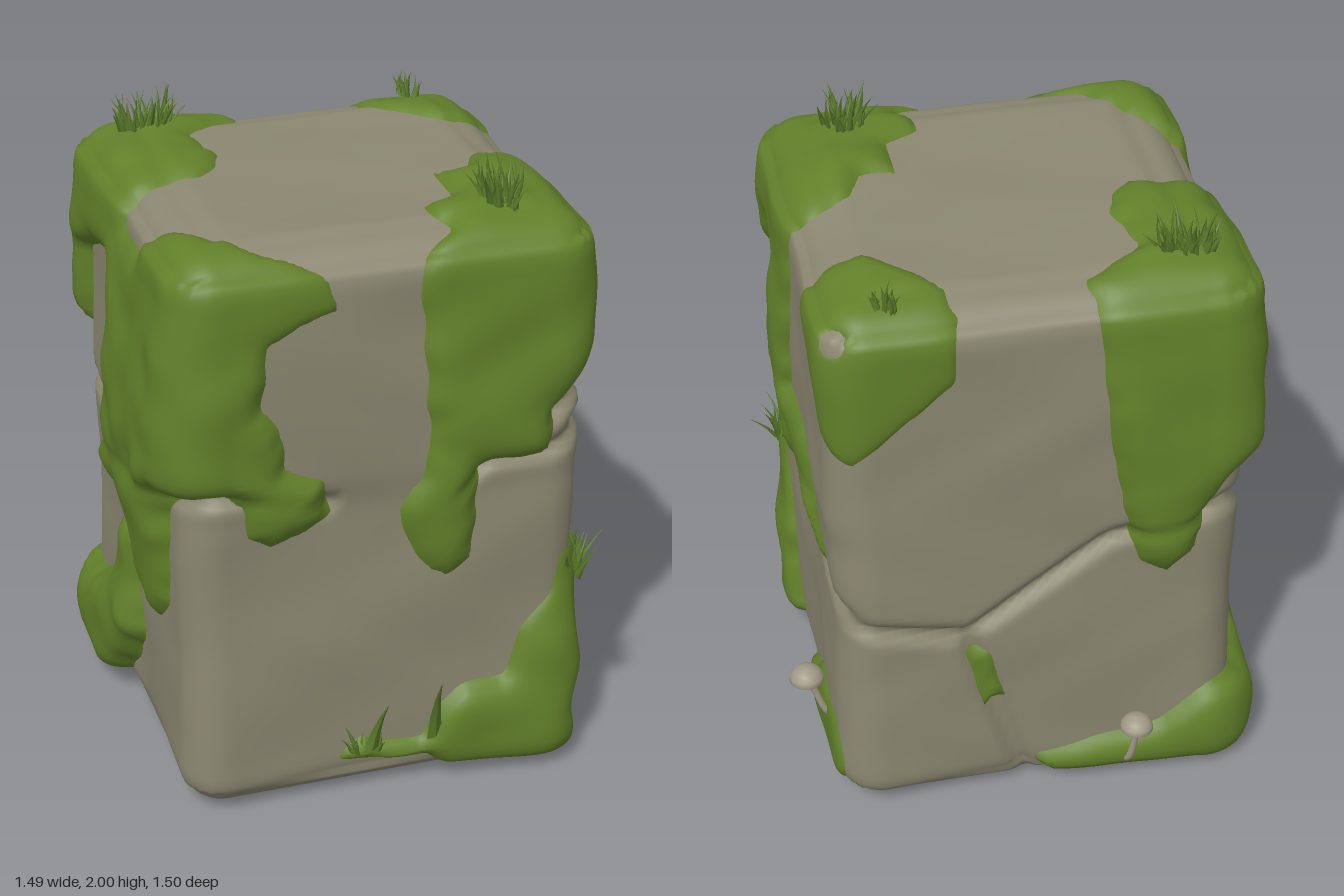
import * as THREE from 'three';
import { mergeVertices, mergeGeometries } from 'three/addons/utils/BufferGeometryUtils.js';

const HALF = new THREE.Vector3(0.632, 0.922, 0.628), CENTRE = new THREE.Vector3(-0.008, 0.933, 0.001), RADIUS = 0.13;
const { clamp, lerp, smoothstep } = THREE.MathUtils;

// Outlines of moss on each side: front/back use (x, y), sides (z, y), top/bottom (x, z)
const MOSS = {
  front: [
    [[-.8, 2], [-.2, 2], [-.18, 1.68], [-.3, 1.65], [-.39, 1.6], [-.41, 1.4], [-.35, 1.33], [-.34, 1.2], [-.22, 1.14], [-.2, 1.02], [-.28, .96], [-.38, .93], [-.44, .98], [-.46, 1.08], [-.52, 1.12], [-.8, 1.12]],
    [[.06, 2], [.06, 1.82], [.08, 1.6], [.11, 1.2], [.1, 1.12], [.02, 1], [.04, .9], [.12, .78], [.17, .75], [.25, .8], [.27, 1.1], [.5, 1.12], [.5, 1.27], [.62, 1.34], [.8, 1.35], [.8, 2]],
    [[-.17, .13], [-.15, .17], [-.1, .21], [-.05, .18], [.1, .17], [.13, .25], [.22, .34], [.36, .35], [.42, .5], [.53, .62], [.55, .78], [.8, .8], [.8, -.1], [.12, .01], [.1, .1]],
  ],
  right: [
    [[.8, 2], [.02, 2], [.02, 1.6], [.06, 1.2], [0, 1.2], [-.15, 1.15], [-.22, 1], [-.4, .84], [-.38, .8], [-.1, .84], [0, .95], [.1, .87], [.23, .93], [.2, 1.05], [.33, 1.15], [.35, 1.3], [.33, 1.45], [.28, 1.55], [.35, 1.6], [.45, 1.58], [.5, 1.5], [.6, 1.38], [.8, 1.35]],
    [[-.32, 2], [-.3, 1.8], [-.24, 1.7], [-.35, 1.62], [-.45, 1.5], [-.52, 1.42], [-.8, 1.36], [-.8, 2]],
    [[.8, .68], [.6, .68], [.55, .76], [.46, .7], [.44, .62], [.35, .5], [.3, .42], [.28, .3], [.22, .14], [.27, .06], [.5, 0], [.8, -.1]],
    [[0, -.02], [0, .15], [-.15, .22], [-.28, .35], [-.4, .29], [-.5, .31], [-.57, .22], [-.6, .04], [-.45, -.02]],
  ],
  back: [
    [[.8, 1.34], [.55, 1.36], [.4, 1.5], [.25, 1.62], [.22, 2], [.8, 2]],
    [[-.15, 2], [-.17, 1.75], [-.22, 1.3], [-.28, 1], [-.31, .88], [-.4, .82], [-.48, .9], [-.52, 1.08], [-.58, 1.16], [-.8, 1.18], [-.8, 2]],
    [[.05, -.1], [0, .14], [-.2, .17], [-.4, .21], [-.52, .32], [-.63, .4], [-.8, .42], [-.8, -.1]],
    [[.23, .62], [.15, .6], [.1, .4], [.17, .38]],
  ],
  left: [
    [[-.8, 2], [-.8, 1.2], [-.53, 1.2], [-.48, 1.48], [-.35, 1.55], [-.15, 1.58], [-.08, 1.4], [-.1, 1.1], [-.25, .95], [-.28, .84], [-.1, .8], [0, .82], [.1, .64], [.3, .56], [.42, .68], [.44, 1], [.5, 1.1], [.8, 1.1], [.8, 2], [.26, 2], [.22, 1.74], [0, 1.74], [-.04, 2]],
    [[-.8, -.1], [-.8, .25], [-.4, .35], [-.22, .48], [-.14, .7], [.04, .72], [.08, .38], [-.05, .2], [-.2, .05], [-.3, -.05]],
  ],
  top: [
    [[-.8, -.8], [-.15, -.8], [-.15, -.5], [-.3, -.42], [-.35, -.38], [-.3, -.2], [-.33, -.12], [-.4, -.04], [-.8, -.03]],
    [[.25, -.8], [.25, -.48], [.35, -.35], [.45, -.27], [.8, -.27], [.8, -.8]],
    [[.8, .02], [.58, -.02], [.43, .05], [.38, .15], [.27, .15], [.27, .33], [.16, .38], [.17, .47], [.2, .55], [.08, .8], [.8, .8]],
    [[-.8, .26], [-.63, .27], [-.5, .38], [-.43, .47], [-.36, .58], [-.28, .8], [-.8, .8]],
  ],
  bottom: [[[.38, -.42], [.46, -.12], [.36, .24], [.05, .38], [-.25, .25], [-.38, -.1], [-.1, -.42]], [[.55, .3], [.5, .55], [.28, .5], [.34, .3]]],
};
// Cracks between the stones, in the same coordinates
const CRACKS = {
  front: [[[-.7, 1.12], [-.45, 1.12], [-.2, 1.05]], [[.2, 1.05], [.3, 1.12], [.5, 1.13], [.7, 1.19]], [[.5, 1.25], [.7, 1.31]]],
  right: [[[.7, 1.19], [.35, 1.2], [.1, 1.1], [-.2, .95], [-.4, .82], [-.7, .77]], [[.7, 1.31], [.36, 1.29]]],
  back: [[[.7, .77], [.22, .68], [-.22, .98], [-.7, 1.07]], [[.22, .68], [.12, .35], [0, -.05]]],
  left: [[[-.7, 1.07], [-.2, .95], [.2, 1.05], [.7, 1.12]]],
  top: [], bottom: [],
};
const BARE = [[.68, .19, .54, .08], [.6, 1.78, -.58, .045]]; // stone showing through: x, y, z, radius

const FACES = {
  front: (p, n) => [n.z, p.x, p.y], back: (p, n) => [-n.z, p.x, p.y],
  right: (p, n) => [n.x, p.z, p.y], left: (p, n) => [-n.x, p.z, p.y],
  top: (p, n) => [n.y, p.x, p.z], bottom: (p, n) => [-n.y, p.x, p.z],
};

function segmentDistance(x, y, a, b) {
  const dx = b[0] - a[0], dy = b[1] - a[1];
  const t = clamp(((x - a[0]) * dx + (y - a[1]) * dy) / (dx * dx + dy * dy), 0, 1);
  return Math.hypot(x - a[0] - t * dx, y - a[1] - t * dy);
}

// Positive inside the outline, negative outside
function outlineDepth(x, y, poly) {
  let d = 1, inside = false;
  poly.forEach((a, i) => {
    const b = poly[(i + 1) % poly.length];
    d = Math.min(d, segmentDistance(x, y, a, b));
    if ((a[1] > y) !== (b[1] > y) && x < a[0] + (y - a[1]) / (b[1] - a[1]) * (b[0] - a[0])) inside = !inside;
  });
  return inside ? d : -d;
}

// Blend a per-side value around the rounded edges
function blendFaces(p, n, valueAt) {
  let sum = 0;
  for (const name in FACES) {
    const [w, u, v] = FACES[name](p, n);
    if (w > 0.01) sum += w * w * valueAt(name, u, v);
  }
  return sum;
}

const wave = (p, f, s) => Math.sin(p.x * f + s + 1.7 * Math.sin(p.y * f * 0.7 + s)) * Math.sin(p.y * f * 0.9 + 2 * s + Math.sin(p.z * f)) * Math.cos(p.z * f * 1.1 - s);

const crackDepth = (p, n) => blendFaces(p, n, (name, u, v) => {
  let d = 1;
  for (const line of CRACKS[name]) for (let i = 1; i < line.length; i++) d = Math.min(d, segmentDistance(u, v, line[i - 1], line[i]));
  return 0.038 * Math.exp(-((d / 0.025) ** 2));
});

function stoneRelief(p, n) {
  const m = Math.max(Math.abs(p.x), Math.abs(p.z));
  const rim = n.y > 0.5 ? -0.015 * smoothstep(m, 0.45, 0.5) : 0; // raised middle of the top
  const lower = -0.014 * Math.max(0, n.z, n.x) * (1 - smoothstep(p.y, 1, 1.15)); // lower stones set back
  const flat = n.y < -0.5 ? 0 : 1;
  return rim + lower - crackDepth(p, n) + flat * (0.011 * wave(p, 5, 0.6) + 0.003 * wave(p, 11, 2));
}

function mossHeight(p, n) {
  let d = blendFaces(p, n, (name, u, v) => clamp(
    Math.max(...MOSS[name].map(poly => outlineDepth(u, v, poly))), -0.1, 0.12));
  for (const [x, y, z, r] of BARE) d = Math.min(d, Math.hypot(p.x - x, p.y - y, p.z - z) - r);
  d += 0.012 * wave(p, 23, 1);
  if (d < 0) return Math.max(d, -0.04);
  const thin = 1 - 0.65 * smoothstep(p.x - p.z, 0.5, 1.1); // sparse at the back right
  // Patches hang heavier towards their lower edge
  const sag = 1.25 - 0.85 * smoothstep(p.y, 1.25, 1.85) - 0.6 * smoothstep(p.y, 0.3, 0.6) * (1 - smoothstep(p.y, 0.7, 1));
  const thick = n.y < -0.5 ? 0.008
    : thin * lerp(sag, 0.75, Math.max(0, n.y)) * (0.045 + 0.016 * wave(p, 12, 3) + 0.03 * Math.max(0, -n.x));
  return (thick + 0.8 * crackDepth(p, n)) * (1 - Math.exp(-d / 0.035));
}

// Rounded block whose skin is moved along its normal; heightAt adds a layer, dropped where it is buried
function blockShell(heightAt) {
  let geo = new THREE.BoxGeometry(HALF.x * 2, HALF.y * 2, HALF.z * 2, 58, 84, 58);
  geo.deleteAttribute('normal');
  geo.deleteAttribute('uv');
  geo.clearGroups();
  geo = mergeVertices(geo, 1e-4);
  const pos = geo.attributes.position, p = new THREE.Vector3(), n = new THREE.Vector3(), layer = [];
  const limit = HALF.clone().subScalar(RADIUS);
  for (let i = 0; i < pos.count; i++) {
    p.fromBufferAttribute(pos, i);
    const inner = p.clone().clamp(limit.clone().negate(), limit);
    n.subVectors(p, inner).normalize();
    p.copy(inner).addScaledVector(n, RADIUS).add(CENTRE);
    layer[i] = heightAt ? heightAt(p, n) : 0;
    p.addScaledVector(n, stoneRelief(p, n) + layer[i]);
    pos.setXYZ(i, p.x, p.y, p.z);
  }
  geo.computeVertexNormals();
  if (heightAt) {
    const old = geo.index.array, keep = [];
    for (let i = 0; i < old.length; i += 3) {
      const tri = [old[i], old[i + 1], old[i + 2]];
      if (tri.some(v => layer[v] > 0)) keep.push(...tri);
    }
    geo.setIndex(keep);
  }
  return geo;
}

let seed = 7;
const rand = (a, b) => { seed = (seed * 16807) % 2147483647; return a + (b - a) * seed / 2147483647; };

// Curved, tapering blade from a root along a direction; spin turns its bend away from the front
function blade(root, dir, h, width, spin = 0) {
  const geo = new THREE.ConeGeometry(width, h, 4, 3).translate(0, h / 2, 0).scale(1, 1, 0.5);
  const pos = geo.attributes.position;
  for (let i = 0; i < pos.count; i++) pos.setZ(i, pos.getZ(i) + 0.25 * h * (pos.getY(i) / h) ** 2);
  geo.rotateY(spin);
  geo.applyQuaternion(new THREE.Quaternion().setFromUnitVectors(new THREE.Vector3(0, 1, 0), dir.normalize()));
  geo.computeVertexNormals();
  return geo.translate(...root);
}

function tuft(name, [x, y, z], [sx, sz], count, h, lean, mat) {
  const blades = [];
  for (let i = 0; i < count; i++) {
    const a = rand(0, 6.28), r = Math.sqrt(rand(0, 1)), dx = Math.cos(a) * r, dz = Math.sin(a) * r;
    const dir = new THREE.Vector3(lean[0] + dx * 0.5, 1, lean[1] + dz * 0.5);
    blades.push(blade([x + dx * sx, y, z + dz * sz], dir, h * rand(0.55, 1), 0.014, rand(0, 6.28)));
  }
  const mesh = new THREE.Mesh(mergeGeometries(blades), mat);
  mesh.name = name;
  return mesh;
}

function mushroom(name, path, capRadius, mat) {
  const g = new THREE.Group();
  g.name = name;
  const curve = new THREE.CatmullRomCurve3(path.map(q => new THREE.Vector3(...q)));
  const stem = new THREE.Mesh(new THREE.TubeGeometry(curve, 10, 0.011, 8), mat);
  stem.name = 'mushroomStem';
  const profile = [[0, 0.1], [0.85, -0.12], [1, 0], [0.94, 0.3], [0.7, 0.62], [0.35, 0.8], [0, 0.86]].map(q => new THREE.Vector2(q[0] * capRadius, q[1] * capRadius));
  const cap = new THREE.Mesh(new THREE.LatheGeometry(profile, 18), mat);
  cap.name = 'mushroomCap';
  cap.position.set(...path[path.length - 1]);
  g.add(stem, cap);
  return g;
}

export function createModel() {
  const material = (name, color) => Object.assign(new THREE.MeshStandardMaterial({ color }), { name });
  const stone = material('stone', 0x8b8771), moss = material('moss', 0x62802a);
  const grass = material('grass', 0x5b7a2a), fungus = material('mushroom', 0xa09986);
  const model = new THREE.Group();
  model.name = 'mossyStoneBlock';
  const add = (name, geo, mat) => {
    const m = new THREE.Mesh(geo, mat);
    m.name = name;
    model.add(m);
  };
  add('stoneBlock', blockShell(null), stone);
  add('mossCover', blockShell(mossHeight), moss);

  // Grass
  model.add(
    tuft('backLeftTuft', [-0.47, 1.87, -0.45], [0.09, 0.04], 42, 0.13, [0, 0], grass),
    tuft('frontRightTuft', [0.38, 1.87, 0.45], [0.06, 0.07], 38, 0.13, [0, 0], grass),
    tuft('backRightTuft', [0.42, 1.85, -0.52], [0.04, 0.04], 14, 0.08, [0, 0], grass),
    tuft('sideTuft', [0.61, 0.65, 0.55], [0.03, 0.05], 24, 0.14, [0.1, 0], grass),
    tuft('frontTuft', [-0.08, 0.17, 0.64], [0.06, 0.02], 7, 0.1, [0, 0.3], grass),
  );
  add('tallBladeLeft', blade([-0.07, 0.17, 0.63], new THREE.Vector3(0.2, 1, 0.05), 0.2, 0.024), grass);
  add('tallBladeRight', blade([0.14, 0.17, 0.63], new THREE.Vector3(-0.08, 1, 0.17), 0.3, 0.026), grass);

  // Mushrooms
  model.add(
    mushroom('sideMushroom', [[0.6, 0.2, -0.4], [0.64, 0.26, -0.4], [0.665, 0.33, -0.395], [0.69, 0.39, -0.395]], 0.055, fungus),
    mushroom('backMushroom', [[-0.28, 0.07, -0.63], [-0.29, 0.11, -0.67], [-0.3, 0.18, -0.685], [-0.305, 0.255, -0.69]], 0.053, fungus),
  );
  return model;
}
